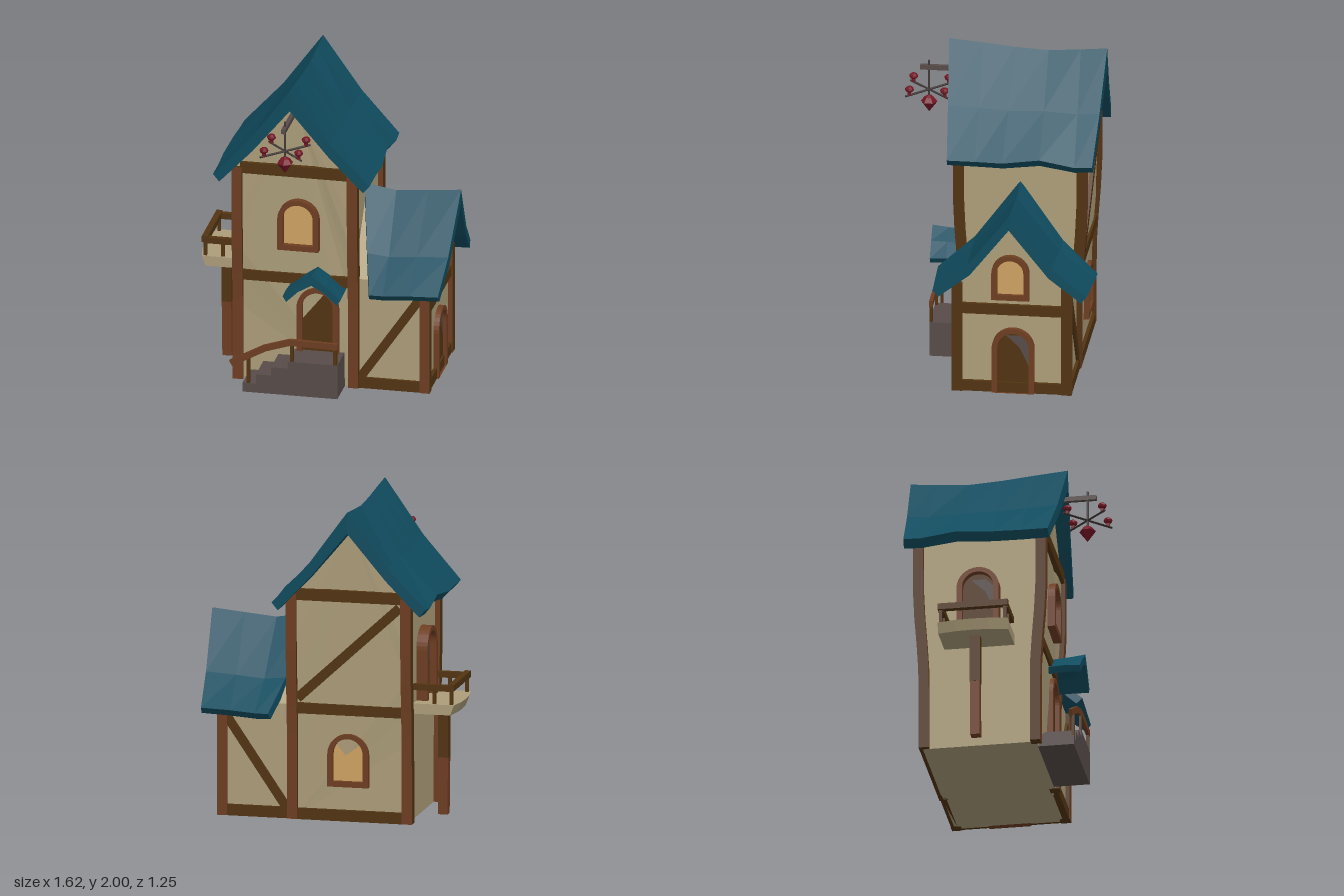
import * as THREE from 'three';

const mat = (name, color) => {
  const m = new THREE.MeshStandardMaterial({ color });
  m.name = name;
  m.flatShading = true;
  return m;
};

export function createModel() {
  const plaster = mat('plaster', 0xad9e7a);
  const roofTeal = mat('roofTeal', 0x104c5f);
  const redWood = mat('redWood', 0x6e3e22);
  const darkWood = mat('darkWood', 0x523412);
  const stone = mat('stone', 0x574c49);
  const glass = mat('glass', 0xcfa262);
  const crimson = mat('crimson', 0x741624);
  const iron = mat('iron', 0x3f3836);

  const model = new THREE.Group();
  model.name = 'cottage';
  const V = (x, y, z) => new THREE.Vector3(x, y, z);
  const shapeOf = (pts) => new THREE.Shape(pts.map((p) => new THREE.Vector2(p[0], p[1])));
  const add = (name, geo, material, parent = model) => {
    const mesh = new THREE.Mesh(geo, material);
    mesh.name = name;
    parent.add(mesh);
    return mesh;
  };

  // Box running from point a to point b
  const beam = (name, a, b, wx, wz, material, parent = model) => {
    const dir = b.clone().sub(a);
    const mesh = add(name, new THREE.BoxGeometry(wx, dir.length(), wz), material, parent);
    mesh.position.copy(a).add(b).multiplyScalar(0.5);
    mesh.quaternion.setFromUnitVectors(V(0, 1, 0), dir.normalize());
    return mesh;
  };

  // The tower leans outward with height at front and back
  const lean = (y) => 0.035 * THREE.MathUtils.smoothstep(y, 0.45, 1.1);
  const midZ = -0.13;
  const leanGeometry = (geo) => {
    const p = geo.attributes.position;
    for (let i = 0; i < p.count; i++) {
      p.setZ(i, p.getZ(i) + Math.sign(p.getZ(i) - midZ) * lean(p.getY(i)));
    }
    geo.computeVertexNormals();
    return geo;
  };

  // Gabled wall block
  const wallShape = (cx, half, shoulder, apex) => {
    const ys = [0, 0.5, 0.7, 0.9, 1.1].filter((y) => y < shoulder - 0.1).concat(shoulder);
    return shapeOf([
      ...ys.map((y) => [cx + half, y]),
      [cx, apex],
      ...ys.slice().reverse().map((y) => [cx - half, y]),
    ]);
  };
  const block = (shape, depth) => new THREE.ExtrudeGeometry(shape, { depth, bevelEnabled: false });
  const towerX = -0.158;
  add('towerWalls', leanGeometry(block(wallShape(towerX, 0.365, 1.44, 1.89), 0.715).translate(0, 0, -0.49)), plaster);
  const annexWalls = add('annexWalls', block(wallShape(0, 0.35, 0.72, 1.15), 0.46), plaster);
  annexWalls.rotation.y = Math.PI / 2;
  annexWalls.position.set(0.2, 0, -0.135);

  // Corner posts
  const postMats = [darkWood, darkWood, darkWood, darkWood, redWood, redWood];
  const post = (name, x, z, h, w, leaning) => {
    const geo = new THREE.BoxGeometry(w, h, w, 1, 8, 1).translate(x, h / 2, z);
    add(name, leaning ? leanGeometry(geo) : geo, postMats);
  };
  for (const z of [0.218, -0.48]) {
    post('towerPost', -0.522, z, 1.43, 0.065, true);
    post('towerPost', 0.208, z, 1.43, 0.065, true);
    post('annexPost', 0.657, z < 0 ? -0.475 : 0.208, 0.72, 0.064, false);
  }

  // Timber framing on front and back
  for (const s of [1, -1]) {
    const tz = (y) => (s > 0 ? 0.228 + lean(y) : -0.492 - lean(y));
    const az = s > 0 ? 0.215 : -0.485;
    beam('floorBeam', V(-0.49, 0.705, tz(0.705)), V(0.18, 0.705, tz(0.705)), 0.066, 0.04, darkWood);
    beam('topBeam', V(-0.5, 1.43, tz(1.4)), V(0.18, 1.43, tz(1.4)), 0.072, 0.04, darkWood);
    beam('annexSill', V(0.23, 0.035, az), V(0.64, 0.035, az), 0.07, 0.04, darkWood);
    beam('annexBrace', V(0.25, 0.07, az), V(0.63, 0.63, az), 0.055, 0.035, darkWood);
  }
  beam('towerSill', V(-0.5, 0.035, -0.492), V(0.2, 0.035, -0.492), 0.07, 0.04, darkWood);
  beam('towerBrace', V(0.17, 0.77, -0.51), V(-0.48, 1.37, -0.525), 0.06, 0.04, darkWood);
  // Timber framing on the annex gable
  for (const y of [0.035, 0.552]) beam('gableBeam', V(0.66, y, 0.19), V(0.66, y, -0.46), 0.045, 0.068, darkWood);

  // Sagging roof: lofted cross-sections; stations are [ridge s, eave s, ridge dy, eave dy, spread]
  const roof = (name, outer, inner, stations) => {
    const mirror = (half) => [...half.slice(1).reverse().map(([u, y]) => [-u, y]), ...half];
    const top = mirror(outer), low = mirror(inner), n = top.length;
    const ring = [...top, ...low.reverse()];
    const uMax = outer[outer.length - 1][0];
    const rings = stations.map(([rs, es, rdy, edy, spread]) => ring.map(([u, y]) => {
      const t = Math.min(1, Math.abs(u) / uMax);
      return [u * (1 + spread), y + rdy + (edy - rdy) * t, rs + (es - rs) * t];
    }));
    const pos = [];
    const quad = (a, b, c, d) => pos.push(...a, ...b, ...c, ...a, ...c, ...d);
    const m = ring.length;
    for (let k = 0; k < rings.length - 1; k++) {
      for (let i = 0; i < m; i++) {
        const j = (i + 1) % m;
        quad(rings[k][i], rings[k + 1][i], rings[k + 1][j], rings[k][j]);
      }
    }
    // end faces between outer and inner lines
    const first = rings[0], last = rings[rings.length - 1];
    for (let i = 0; i < n - 1; i++) {
      const a = i, b = i + 1, c = m - 2 - i, d = m - 1 - i;
      quad(first[a], first[b], first[c], first[d]);
      quad(last[d], last[c], last[b], last[a]);
    }
    const geo = new THREE.BufferGeometry();
    geo.setAttribute('position', new THREE.Float32BufferAttribute(pos, 3));
    geo.computeVertexNormals();
    return add(name, geo, roofTeal);
  };
  roof('towerRoof', [[0, 2], [0.25, 1.65], [0.495, 1.375]], [[0, 1.865], [0.24, 1.565], [0.455, 1.33]], [
    [-0.625, -0.59, -0.02, 0.005, -0.01], [-0.46, -0.48, -0.035, 0, 0], [-0.26, -0.26, -0.05, 0.035, -0.02],
    [-0.05, -0.03, -0.038, 0.01, 0.015], [0.15, 0.14, -0.018, 0.01, 0], [0.36, 0.315, 0, 0.01, 0],
  ]).position.x = -0.17;
  const annexRoof = roof('annexRoof', [[0, 1.22], [0.27, 0.87], [0.49, 0.685]], [[0, 1.13], [0.25, 0.81], [0.455, 0.645]], [
    [0.2, 0.335, 0.002, -0.005, 0.015], [0.4, 0.42, -0.03, -0.005, 0.01],
    [0.6, 0.58, -0.012, 0.005, -0.005], [0.81, 0.765, 0.008, 0.01, -0.02],
  ]);
  annexRoof.rotation.y = Math.PI / 2;
  annexRoof.position.z = -0.13;
  roof('porchRoof', [[0, 0.81], [0.09, 0.74], [0.182, 0.657]], [[0, 0.745], [0.085, 0.695], [0.16, 0.622]], [
    [0.22, 0.22, -0.02, 0, -0.03], [0.34, 0.34, -0.012, 0.005, 0], [0.445, 0.44, 0, 0, 0],
  ]).position.x = -0.015;

  // Arched doors and windows
  const arch = (w, h, base = 0, Type = THREE.Shape) => {
    const s = new Type(), r = w / 2;
    s.moveTo(-r, base);
    s.lineTo(r, base);
    s.lineTo(r, h - r);
    s.absarc(0, h - r, r, 0, Math.PI, false);
    s.closePath();
    return s;
  };
  const opening = (name, w, h, sill, panelMat, x, y, z, turn, depth, patch) => {
    const g = new THREE.Group();
    g.name = name;
    g.position.set(x, y, z);
    g.rotation.y = turn;
    model.add(g);
    const frame = arch(w, h);
    frame.holes.push(arch(w - 0.07, h - 0.03, sill, THREE.Path));
    add(name + 'Frame', new THREE.ExtrudeGeometry(frame, { depth, bevelEnabled: false, curveSegments: 8 }), redWood, g);
    add(name + 'Panel', new THREE.ShapeGeometry(arch(w - 0.06, h - 0.025, 0.001), 8), panelMat, g).position.z = depth * 0.45;
    if (patch) {
      const worn = shapeOf([[-0.045, 0.38], [0.045, 0.383], [0.088, 0.34], [0.096, 0.3], [0.096, 0.18], [0.04, 0.3]]);
      add(name + 'WornPatch', new THREE.ShapeGeometry(worn), stone, g).position.z = depth * 0.45 + 0.003;
    }
  };
  const q = Math.PI / 2;
  opening('frontWindow', 0.26, 0.335, 0.035, glass, -0.133, 0.905, 0.235, 0, 0.06);
  opening('backWindow', 0.26, 0.335, 0.035, glass, -0.15, 0.22, -0.48, Math.PI, 0.05);
  opening('gableWindow', 0.235, 0.295, 0.035, glass, 0.65, 0.62, -0.125, q, 0.045);
  opening('frontDoor', 0.265, 0.425, 0, darkWood, -0.015, 0.225, 0.215, 0, 0.05);
  opening('annexDoor', 0.265, 0.43, 0, darkWood, 0.65, 0, -0.142, q, 0.045, true);
  opening('balconyDoor', 0.265, 0.45, 0, darkWood, -0.515, 0.735, -0.135, -q, 0.08, true);

  // Front steps and handrail
  const steps = shapeOf([[-0.45, 0], [0.15, 0], [0.15, 0.225], [-0.165, 0.225], [-0.165, 0.178], [-0.27, 0.178],
    [-0.27, 0.123], [-0.365, 0.123], [-0.365, 0.06], [-0.45, 0.06]]);
  add('frontSteps', block(steps, 0.225).translate(0, 0, 0.22), stone);
  const rail = [[-0.525, 0.182], [-0.31, 0.3], [-0.15, 0.352], [0.15, 0.346]];
  for (let i = 0; i < 3; i++) {
    beam('handrail', V(...rail[i], 0.435), V(...rail[i + 1], 0.435), 0.04, 0.022, redWood);
  }
  for (const [x, y0, y1] of [[-0.415, 0.06, 0.24], [-0.14, 0.22, 0.345], [0.135, 0.22, 0.34]]) {
    beam('handrailPost', V(x, y0, 0.435), V(x, y1, 0.435), 0.022, 0.018, darkWood);
  }

  // Balcony on the side wall
  const deck = block(shapeOf([[-0.52, -0.085], [-0.785, -0.085], [-0.805, 0.03], [-0.81, 0.135], [-0.805, 0.24],
    [-0.785, 0.355], [-0.52, 0.355]]), 0.065).rotateX(-q);
  const dp = deck.attributes.position;
  for (let i = 0; i < dp.count; i++) if (dp.getY(i) < 0.01 && dp.getX(i) < -0.7) dp.setX(i, dp.getX(i) + 0.025);
  deck.computeVertexNormals();
  add('balconyDeck', deck, plaster).position.y = 0.67;
  beam('balconyRail', V(-0.767, 0.845, 0.085), V(-0.767, 0.845, -0.355), 0.038, 0.04, darkWood);
  for (const z of [0.065, -0.337]) {
    beam('balconySideRail', V(-0.76, 0.838, z), V(-0.52, 0.838, z), 0.038, 0.034, darkWood);
    for (const x of [-0.765, -0.655]) beam('balconyRailPost', V(x, 0.73, z), V(x, 0.83, z), 0.02, 0.02, darkWood);
  }
  beam('balconySupportLower', V(-0.666, 0, -0.135), V(-0.67, 0.36, -0.135), 0.06, 0.06, redWood);
  beam('balconySupportUpper', V(-0.67, 0.36, -0.135), V(-0.67, 0.68, -0.135), 0.064, 0.064, darkWood);

  // Hanging lantern under the front gable
  const lantern = new THREE.Group();
  lantern.name = 'lantern';
  lantern.position.set(-0.172, 0, 0.485);
  model.add(lantern);
  beam('lanternBracket', V(0, 1.8, -0.25), V(0, 1.8, 0.055), 0.026, 0.03, stone, lantern);
  beam('lanternRod', V(0, 1.6, 0), V(0, 1.845, 0), 0.012, 0.012, iron, lantern);
  for (let i = 0; i < 4; i++) {
    const a = Math.PI / 4 + i * q, c = Math.cos(a), s = Math.sin(a);
    beam('lanternArm', V(0, 1.65, 0), V(c * 0.185, 1.65, s * 0.185), 0.011, 0.011, iron, lantern);
    beam('orbStem', V(c * 0.155, 1.65, s * 0.155), V(c * 0.155, 1.68, s * 0.155), 0.02, 0.02, crimson, lantern);
    const orb = add('lanternOrb', new THREE.SphereGeometry(0.028, 8, 6), crimson, lantern);
    orb.scale.y = 0.75;
    orb.position.set(c * 0.155, 1.69, s * 0.155);
  }
  const gem = [[0, 1.503], [0.052, 1.572], [0.03, 1.6], [0, 1.618]].map((p) => new THREE.Vector2(p[0], p[1]));
  add('lanternCrystal', new THREE.LatheGeometry(gem, 6), crimson, lantern);

  return model;
}
